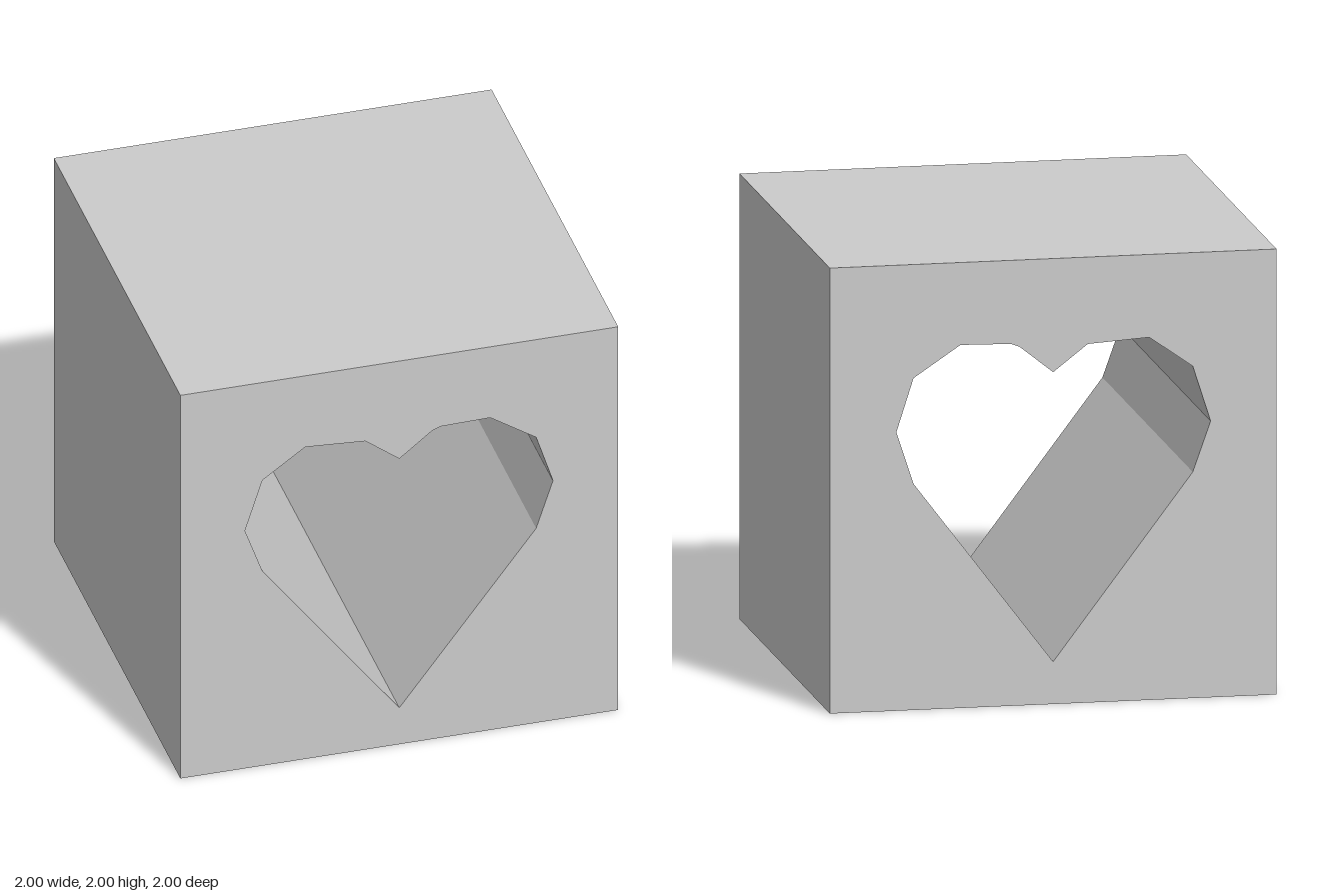
import * as THREE from 'three';

export function createModel() {
  const group = new THREE.Group();
  const toPoints = (list) => list.map(([x, y]) => new THREE.Vector2(x, y));

  // Square outline of the cube
  const outline = new THREE.Shape(toPoints([[-1, 0], [1, 0], [1, 2], [-1, 2]]));

  // Faceted heart running through the cube from front to back
  outline.holes.push(new THREE.Path(toPoints([
    [0, 0.19], [-0.625, 1.015], [-0.705, 1.24], [-0.625, 1.49], [-0.43, 1.628],
    [-0.155, 1.61], [0, 1.49], [0.15, 1.61], [0.19, 1.625], [0.415, 1.63],
    [0.625, 1.49], [0.702, 1.25], [0.625, 1.015],
  ])));

  const geometry = new THREE.ExtrudeGeometry(outline, { depth: 2, bevelEnabled: false });
  geometry.translate(0, 0, -1);

  const cube = new THREE.Mesh(
    geometry,
    new THREE.MeshStandardMaterial({ color: 0xcccccc, flatShading: true }),
  );
  cube.name = 'cubeWithHeartHole';
  group.add(cube);
  return group;
}
